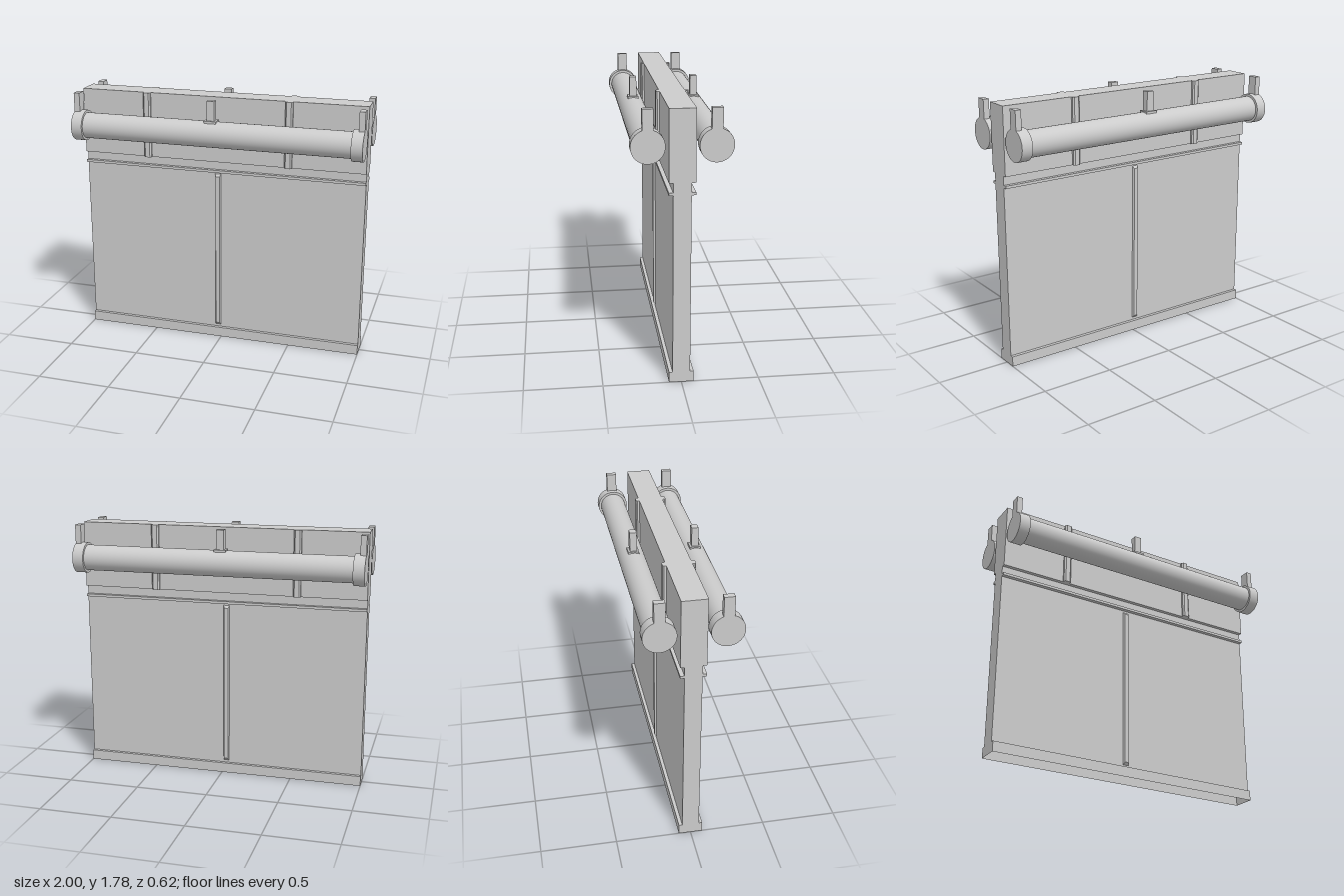
import * as THREE from 'three';

const material = new THREE.MeshStandardMaterial({ color: 0xcccccc });
const openMaterial = new THREE.MeshStandardMaterial({ color: 0xcccccc, side: THREE.DoubleSide });

function add(parent, name, geometry, mat = material) {
  const mesh = new THREE.Mesh(geometry, mat);
  mesh.name = name;
  parent.add(mesh);
  return mesh;
}

// Box given by its limits on each axis
function block(parent, name, [x0, x1], [y0, y1], [z0, z1]) {
  const mesh = add(parent, name, new THREE.BoxGeometry(x1 - x0, y1 - y0, z1 - z0));
  mesh.position.set((x0 + x1) / 2, (y0 + y1) / 2, (z0 + z1) / 2);
  return mesh;
}

// Wall cross-section (half depth, height) run along x, open underneath
function wallGeometry() {
  const half = [
    [0.079, 0], [0.079, 0.07], [0.056, 0.07], [0.056, 1.247], [0.083, 1.247],
    [0.083, 1.265], [0.056, 1.265], [0.056, 1.325], [0.082, 1.325], [0.082, 1.78],
  ];
  const outline = [...half, ...half.map(([z, y]) => [-z, y]).reverse()];
  const shape = new THREE.Shape(outline.map(([z, y]) => new THREE.Vector2(z, y)));
  const solid = new THREE.ExtrudeGeometry(shape, { depth: 2, bevelEnabled: false }).toNonIndexed();
  solid.translate(0, 0, -1).rotateY(Math.PI / 2);

  // Leave out the triangles lying on the ground
  const p = solid.attributes.position;
  const kept = [];
  for (let i = 0; i < p.count; i += 3) {
    if (Math.max(p.getY(i), p.getY(i + 1), p.getY(i + 2)) < 1e-4) continue;
    for (let k = i; k < i + 3; k++) kept.push(p.getX(k), p.getY(k), p.getZ(k));
  }
  const geometry = new THREE.BufferGeometry();
  geometry.setAttribute('position', new THREE.Float32BufferAttribute(kept, 3));
  geometry.computeVertexNormals();
  return geometry;
}

// Upright strip with chamfered outer corners
function pilasterGeometry() {
  const shape = new THREE.Shape([
    [-0.026, -0.07], [0.026, -0.07], [0.026, -0.096],
    [0.016, -0.105], [-0.016, -0.105], [-0.026, -0.096],
  ].reverse().map(([x, y]) => new THREE.Vector2(x, y)));
  const geometry = new THREE.ExtrudeGeometry(shape, { depth: 0.455, bevelEnabled: false });
  return geometry.rotateX(-Math.PI / 2).translate(0, 1.325, 0);
}

// Rib whose outer face is narrower and shorter than its base
function ribGeometry() {
  const geometry = new THREE.BoxGeometry(0.054, 1.18, 0.03).toNonIndexed();
  const p = geometry.attributes.position;
  for (let i = 0; i < p.count; i++) {
    if (p.getZ(i) < 0) continue;
    p.setX(i, Math.sign(p.getX(i)) * 0.014);
    p.setY(i, Math.sign(p.getY(i)) * 0.555);
  }
  geometry.computeVertexNormals();
  return geometry.translate(-0.027, 0.66, 0.056);
}

// Rib, pilasters and hanging roller for one face of the wall
function createSide(name) {
  const side = new THREE.Group();
  side.name = name;
  add(side, 'centerRib', ribGeometry());
  for (const x of [-0.526, 0.474]) add(side, 'pilaster', pilasterGeometry()).position.x = x;

  const roller = new THREE.Group();
  roller.name = 'roller';
  side.add(roller);
  const cylinder = (part, radius, length, x) => {
    const geometry = new THREE.CylinderGeometry(radius, radius, length, 48).rotateZ(Math.PI / 2);
    add(roller, part, geometry).position.set(x, 1.552, 0.207);
  };
  cylinder('rollerTube', 0.088, 1.9, 0);
  for (const s of [-1, 1]) {
    cylinder('endCap', 0.105, 0.076, s * 0.962);
    block(roller, 'endHanger', s < 0 ? [-1, -0.96] : [0.96, 1], [1.6, 1.78], [0.173, 0.241]);
  }
  block(roller, 'centerHangerPlate', [-0.068, 0.014], [1.62, 1.648], [0.171, 0.243]);
  block(roller, 'centerHanger', [-0.053, -0.001], [1.63, 1.78], [0.184, 0.23]);
  return side;
}

// Reflect a side across the wall's middle plane, keeping faces outward
function mirrorZ(group) {
  group.scale.z = -1;
  return group;
}

export function createModel() {
  const model = new THREE.Group();
  model.name = 'partitionWall';
  add(model, 'wallPanel', wallGeometry(), openMaterial);
  model.add(createSide('frontSide'), mirrorZ(createSide('backSide')));
  return model;
}
